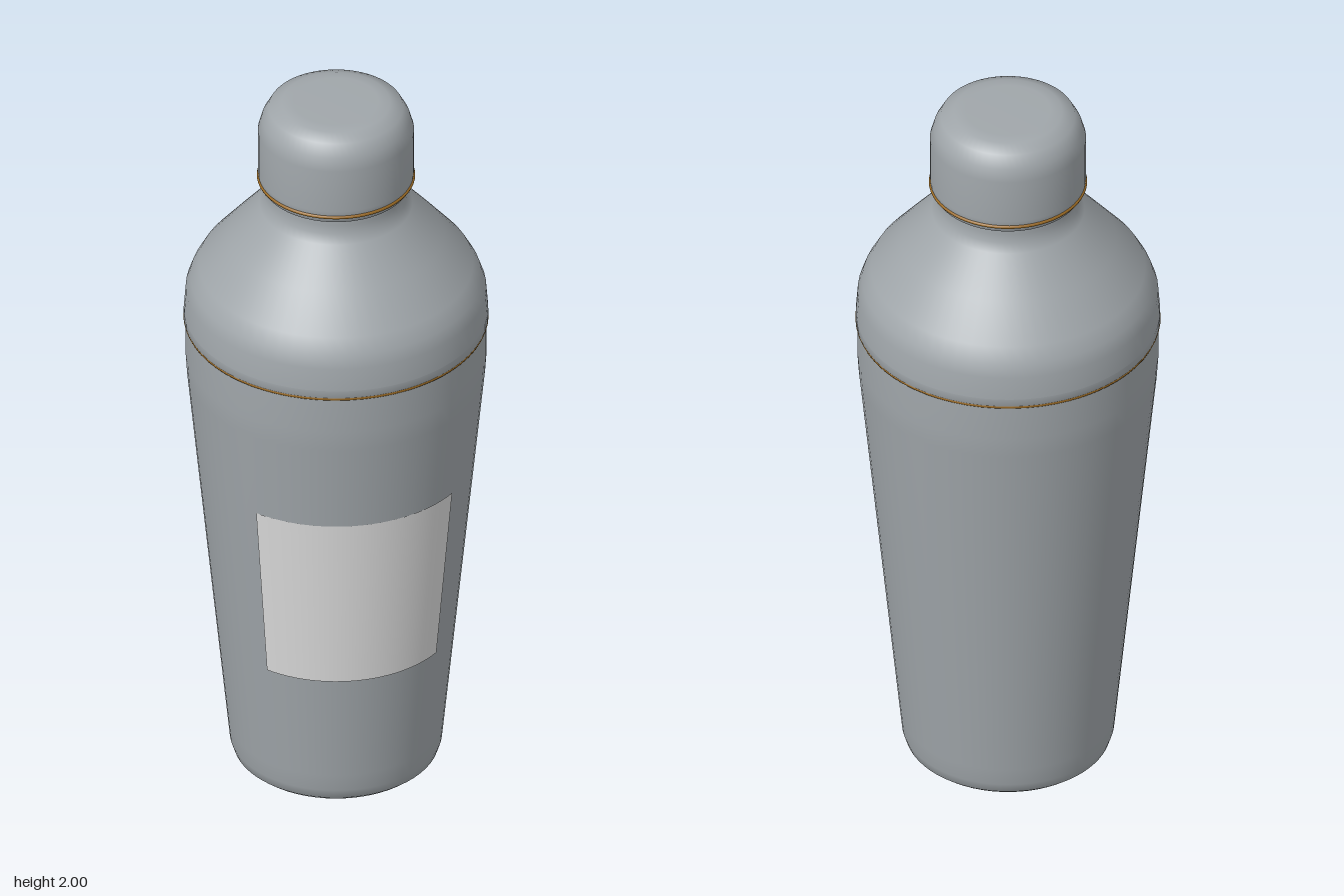
import * as THREE from 'three';

export function createModel() {
  const model = new THREE.Group();
  const material = (name, color) => {
    const m = new THREE.MeshStandardMaterial({ color });
    m.name = name;
    return m;
  };
  const steel = material('brushed steel', 0xa0a6aa);
  const gold = material('dark gold', 0x9a6a24);
  const paper = material('label paper', 0xdcdcdc);
  const SEGMENTS = 64;

  const add = (name, geometry, mat, y = 0) => {
    const mesh = new THREE.Mesh(geometry, mat);
    mesh.name = name;
    mesh.position.y = y;
    model.add(mesh);
    return mesh;
  };
  // Profiles run from bottom to top as [radius, height]
  const lathe = (name, profile) => add(name,
    new THREE.LatheGeometry(profile.map(([r, y]) => new THREE.Vector2(r, y)), SEGMENTS), steel);
  const ring = (name, radius, tube, y) => add(name,
    new THREE.TorusGeometry(radius, tube, 8, SEGMENTS).rotateX(Math.PI / 2), gold, y);

  // Tapered cup with a flat base
  lathe('base', [[0, 0], [0.252, 0]]);
  lathe('cup', [[0.252, 0], [0.266, 0.012], [0.275, 0.04], [0.28, 0.09],
    [0.335, 0.65], [0.386, 1.17], [0.39, 1.23], [0.39, 1.335]]);

  // Strainer lid: rim, sloping shoulder and neck
  lathe('lidRim', [[0.385, 1.33], [0.394, 1.335], [0.394, 1.36]]);
  lathe('shoulder', [[0.394, 1.36], [0.389, 1.425], [0.377, 1.46], [0.355, 1.5],
    [0.28, 1.59], [0.198, 1.685], [0.185, 1.71], [0.182, 1.735], [0.182, 1.78]]);

  // Cap with chamfered lower lip and rounded top
  lathe('capUnderside', [[0.18, 1.752], [0.192, 1.752]]);
  lathe('cap', [[0.192, 1.752], [0.2, 1.768], [0.202, 1.79], [0.202, 1.915],
    [0.192, 1.95], [0.174, 1.983], [0.14, 1.997], [0.11, 2], [0, 2]]);

  // Gold trim
  ring('cupBand', 0.388, 0.007, 1.336);
  ring('capBand', 0.2, 0.005, 1.772);

  // Label wrapped around a quarter of the front
  const bottom = 0.405, top = 0.92;
  add('label', new THREE.CylinderGeometry(0.3645, 0.315, top - bottom, 24, 1, true,
    -Math.PI / 4, Math.PI / 2), paper, (top + bottom) / 2).material.side = THREE.DoubleSide;

  return model;
}
